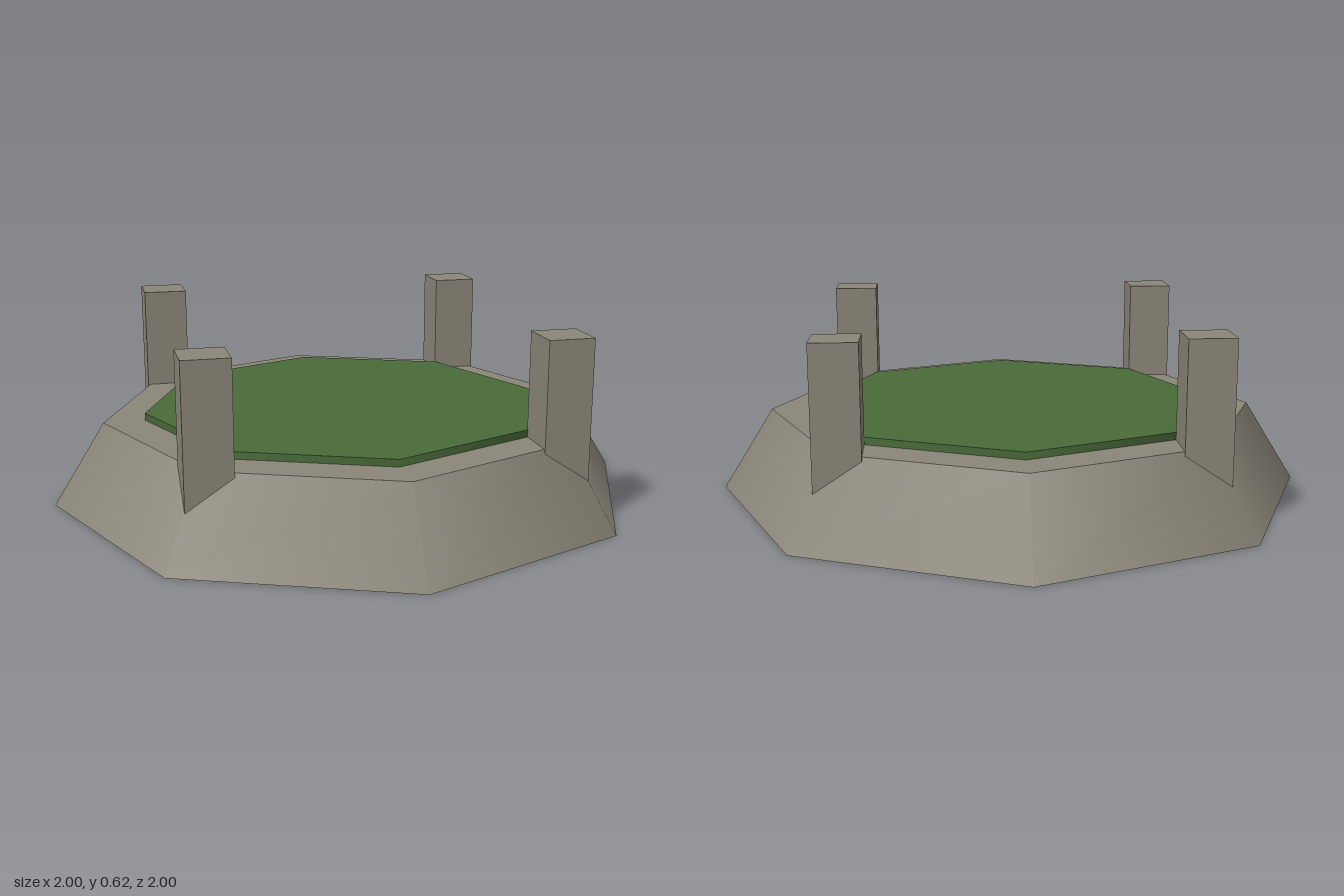
import * as THREE from 'three';

export function createModel() {
  const stone = new THREE.MeshStandardMaterial({ color: 0x8b8679 });
  stone.name = 'stone';
  const grass = new THREE.MeshStandardMaterial({ color: 0x4a6b3a });
  grass.name = 'grass';

  const group = new THREE.Group();
  const add = (name, geometry, material, x, y, z) => {
    const mesh = new THREE.Mesh(geometry, material);
    mesh.name = name;
    mesh.position.set(x, y, z);
    group.add(mesh);
  };

  // Tapered octagonal plinth with smooth-shaded sides
  const baseH = 0.276;
  add('plinth', new THREE.CylinderGeometry(0.828, 1, baseH, 8), stone, 0, baseH / 2, 0);

  // Grass slab, set slightly into the plinth
  const grassTop = 0.3, grassH = 0.055;
  add('grassSlab', new THREE.CylinderGeometry(0.69, 0.69, grassH, 8), grass, 0, grassTop - grassH / 2, 0);

  // Four square corner posts rising out of the slope
  const postTop = 0.623, postBottom = 0.14, postW = 0.15, postX = 0.56;
  const post = new THREE.BoxGeometry(postW, postTop - postBottom, postW);
  for (const [sx, side] of [[1, 'Left'], [-1, 'Right']]) {
    for (const [sz, end] of [[1, 'front'], [-1, 'back']]) {
      add(`${end}${side}Post`, post, stone, sx * postX, (postTop + postBottom) / 2, sz * postX);
    }
  }
  return group;
}
